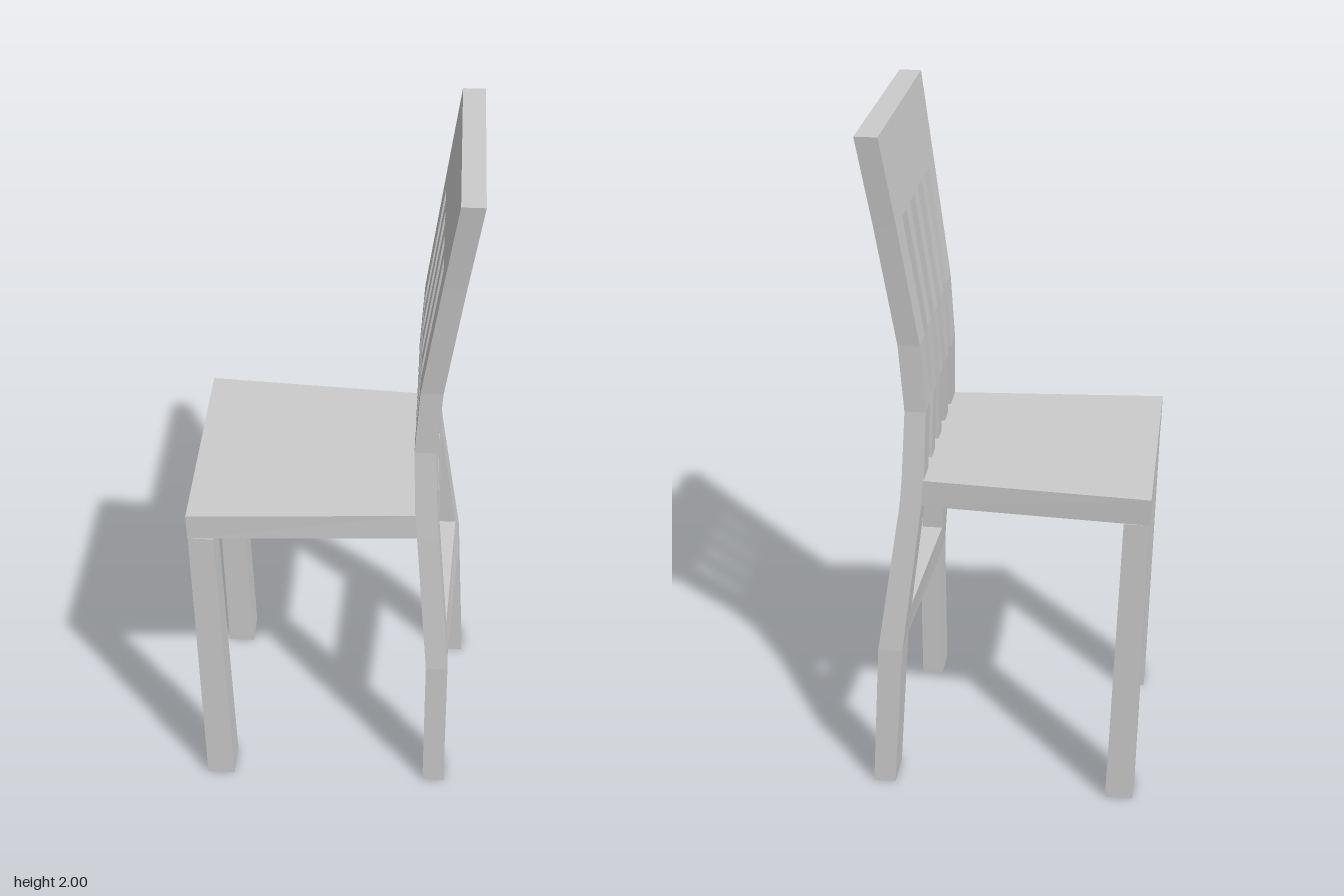
import * as THREE from 'three';

const material = new THREE.MeshStandardMaterial({ color: 0xcccccc, flatShading: true });

// Stack of four-cornered sections, listed from bottom to top.
// Section: [y, xFront, xBack, zMin, zMax]; tail values override x on the zMin side.
function loft(name, sections) {
  const rings = sections.map(([y, x0, x1, z0, z1, x0b = x0, x1b = x1]) =>
    [[x0, y, z1], [x1, y, z1], [x1b, y, z0], [x0b, y, z0]]);
  const pos = [];
  const quad = (a, b, c, d) => pos.push(...a, ...b, ...c, ...a, ...c, ...d);
  for (let k = 0; k < rings.length - 1; k++) {
    const lo = rings[k], hi = rings[k + 1];
    for (let i = 0; i < 4; i++) {
      const j = (i + 1) % 4;
      quad(lo[i], lo[j], hi[j], hi[i]);
    }
  }
  quad(...rings[rings.length - 1]);
  quad(...[...rings[0]].reverse());
  const geometry = new THREE.BufferGeometry();
  geometry.setAttribute('position', new THREE.Float32BufferAttribute(pos, 3));
  geometry.computeVertexNormals();
  const mesh = new THREE.Mesh(geometry, material);
  mesh.name = name;
  return mesh;
}

// Curve of the back frame: [y, xFront, xBack, zInner, zOuter]
const BACK = [
  [0.92, 0.245, 0.307, 0.22, 0.305],
  [1.0, 0.237, 0.3, 0.215, 0.297],
  [1.2, 0.23, 0.29, 0.2, 0.276],
  [1.4, 0.241, 0.303, 0.2, 0.28],
  [1.75, 0.29, 0.352, 0.222, 0.312],
];

// Lower back legs: the -z leg is splayed further back than the +z one
const LEG = {
  1: [[0, 0.287, 0.352, 0.25, 0.352], [0.46, 0.284, 0.348, 0.24, 0.345]],
  [-1]: [[0, 0.337, 0.402, 0.247, 0.357], [0.46, 0.305, 0.376, 0.242, 0.348]],
};

const mirrorZ = (s, [y, x0, x1, a, b]) => (s > 0 ? [y, x0, x1, a, b] : [y, x0, x1, -b, -a]);

export function createModel() {
  const chair = new THREE.Group();
  chair.name = 'chair';

  for (const s of [1, -1]) {
    const side = s > 0 ? 'Left' : 'Right';
    // Back leg and back post in one bent piece
    chair.add(loft('backPost' + side, [...LEG[s], ...BACK].map((r) => mirrorZ(s, r))));
    // Front leg, slightly splayed
    chair.add(loft('frontLeg' + side, [
      [0, -0.38, -0.298, 0.25, 0.36],
      [0.92, -0.402, -0.33, 0.245, 0.345],
    ].map((r) => mirrorZ(s, r))));
  }

  // Seat slab, narrowing towards the back
  const seat = loft('seat', [[0.92, -0.403, 0.247, -0.345, 0.345], [1.0, -0.405, 0.238, -0.347, 0.347]]);
  const p = seat.geometry.attributes.position;
  for (let i = 0; i < p.count; i++) if (p.getX(i) > 0) p.setZ(i, Math.sign(p.getZ(i)) * 0.303);
  seat.geometry.computeVertexNormals();
  chair.add(seat);

  // Rail closing the seat between the posts
  chair.add(loft('seatRail', BACK.slice(0, 2).map(([y, a, b, z]) => [y, a, b, -z, z])));

  // Three slats following the bend of the back
  const spread = [0.125, 0.115, 0.115, 0.125];
  for (const s of [-1, 0, 1]) {
    chair.add(loft('backSlat', BACK.slice(1).map(([y, a, b], i) =>
      [y, a, b, s * spread[i] - 0.028, s * spread[i] + 0.028])));
  }

  // Wide top panel
  chair.add(loft('topPanel', [[1.75, 0.29, 0.352, -0.312, 0.312], [2, 0.326, 0.389, -0.34, 0.34]]));

  // Stretcher between the back legs
  chair.add(loft('stretcher', [
    [0.46, 0.284, 0.348, -0.245, 0.243, 0.305, 0.376],
    [0.555, 0.276, 0.34, -0.24, 0.24, 0.293, 0.362],
  ]));

  return chair;
}
